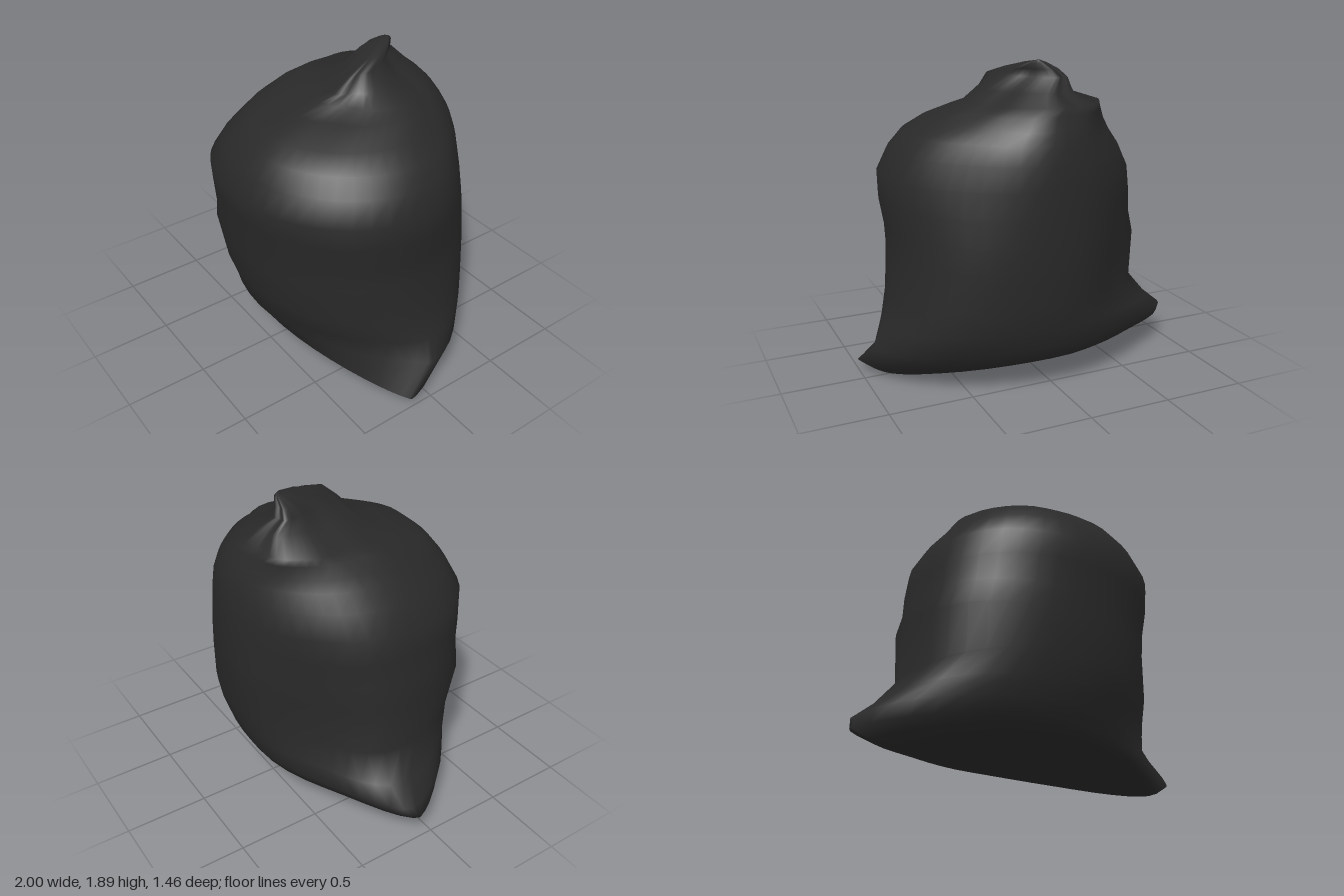
import * as THREE from 'three';

// Lower cross-sections: y at the -x end, the +x end and the middle, x range,
// z range, z of both end corners, corner sharpness at front and back
const LOWER = [
  [0.15, 0.15, 0.15, 0.00, 0.02, 0.01, -0.01, 0.00, 0.00, 1.0, 1.0],
  [0.13, 0.12, 0.15, -0.40, 0.45, 0.22, -0.30, -0.03, 0.04, 1.1, 1.1],
  [0.07, 0.00, 0.155, -0.73, 0.90, 0.40, -0.48, 0.00, 0.10, 1.6, 1.3],
  [0.09, 0.01, 0.17, -0.90, 0.93, 0.46, -0.55, -0.03, 0.13, 1.8, 1.35],
  [0.15, 0.06, 0.20, -1.00, 1.00, 0.50, -0.59, -0.09, 0.15, 1.8, 1.35],
  [0.23, 0.21, 0.29, -0.98, 0.95, 0.56, -0.64, -0.14, -0.05, 1.5, 1.3],
  [0.33, 0.36, 0.41, -0.86, 0.895, 0.60, -0.675, -0.12, -0.05, 1.2, 1.1],
  [0.48, 0.50, 0.55, -0.74, 0.84, 0.65, -0.70, -0.05, -0.02, 1.0, 0.95],
];

// Upper cross-sections: y, x range, z range, depth of the gathered folds,
// sideways lean of the front of the knot
const UPPER = [
  [0.78, -0.76, 0.82, 0.68, -0.72, 0, 0],
  [0.92, -0.72, 0.825, 0.69, -0.73, 0, 0],
  [1.08, -0.71, 0.85, 0.71, -0.73, 0, 0],
  [1.23, -0.685, 0.85, 0.73, -0.73, 0, 0],
  [1.37, -0.60, 0.79, 0.665, -0.72, 0, 0],
  [1.47, -0.52, 0.71, 0.59, -0.695, 0, 0],
  [1.54, -0.47, 0.60, 0.50, -0.67, 0.01, 0],
  [1.61, -0.425, 0.49, 0.30, -0.63, 0.02, 0],
  [1.655, -0.38, 0.39, 0.15, -0.60, 0.03, 0.1],
  [1.72, -0.16, 0.27, 0.09, -0.52, 0.05, 0.25],
  [1.80, -0.08, 0.155, 0.00, -0.45, 0.05, 0.5],
  [1.845, -0.06, 0.13, -0.14, -0.42, 0.05, 0.5],
  [1.88, -0.02, 0.08, -0.27, -0.40, 0.04, 0.3],
  [1.895, 0.02, 0.04, -0.36, -0.38, 0, 0],
];

const SEGMENTS = 44;

// Uneven filling of the bag: how far each diagonal swells or sinks
function bulge(c, n, y) {
  const high = THREE.MathUtils.smoothstep(y, 0.6, 1.4);
  const front = c < 0 ? 0.05 : -0.02;
  const back = c < 0 ? -0.12 + 0.08 * high : 0.04 - 0.13 * high;
  return 1 + 4 * c * c * n * n * (n > 0 ? front : back);
}

function sectionPoint(s, t) {
  const [yL, yR, yM, xL, xR, zF, zB, zL, zR, pF, pB, fold, lean] = s;
  const c = Math.cos(t), n = Math.sin(t), end = c * c;
  const pleat = 1 + fold * (Math.sin(5 * t + 0.6) + 0.6 * Math.sin(9 * t + 2));
  const y = yM + ((c < 0 ? yL : yR) - yM) * end;
  const swell = pleat * bulge(c, n, y);
  const mid = (zF + zB) / 2;
  const z = mid + ((c < 0 ? zL : zR) - mid) * end
    + ((zF - zB) / 2) * Math.sign(n) * Math.abs(n) ** (n > 0 ? pF : pB) * swell;
  const x = (xL + xR) / 2 + ((xR - xL) / 2) * c * swell + lean * (z - mid);
  return [x, y, z];
}

// Skin the closed sections, from the centre of the base up to the tied tip
function bagGeometry() {
  const sections = [
    ...LOWER.map((s) => [...s, 0, 0]),
    ...UPPER.map(([y, xL, xR, zF, zB, fold, lean]) => {
      const mid = (zF + zB) / 2;
      return [y, y, y, xL, xR, zF, zB, mid, mid, 0.95, 0.92, fold, lean];
    }),
  ];
  const positions = [], index = [];
  for (const s of sections) {
    for (let j = 0; j < SEGMENTS; j++) {
      positions.push(...sectionPoint(s, (j / SEGMENTS) * Math.PI * 2));
    }
  }
  for (let i = 0; i < sections.length - 1; i++) {
    for (let j = 0; j < SEGMENTS; j++) {
      const a = i * SEGMENTS + j, b = i * SEGMENTS + ((j + 1) % SEGMENTS);
      const c = a + SEGMENTS, d = b + SEGMENTS;
      index.push(a, c, b, b, c, d);
    }
  }
  // Close the tiny holes at the base and the tip
  const last = (sections.length - 1) * SEGMENTS;
  for (let j = 1; j < SEGMENTS - 1; j++) {
    index.push(0, j, j + 1, last, last + j + 1, last + j);
  }
  const g = new THREE.BufferGeometry();
  g.setAttribute('position', new THREE.Float32BufferAttribute(positions, 3));
  g.setIndex(index);
  g.computeVertexNormals();
  return g;
}

export function createModel() {
  const blackPlastic = new THREE.MeshStandardMaterial({ color: 0x292929 });
  blackPlastic.name = 'blackPlastic';
  const group = new THREE.Group();
  group.name = 'tiedBag';
  const bag = new THREE.Mesh(bagGeometry(), blackPlastic);
  bag.name = 'bagBody';
  group.add(bag);
  return group;
}
